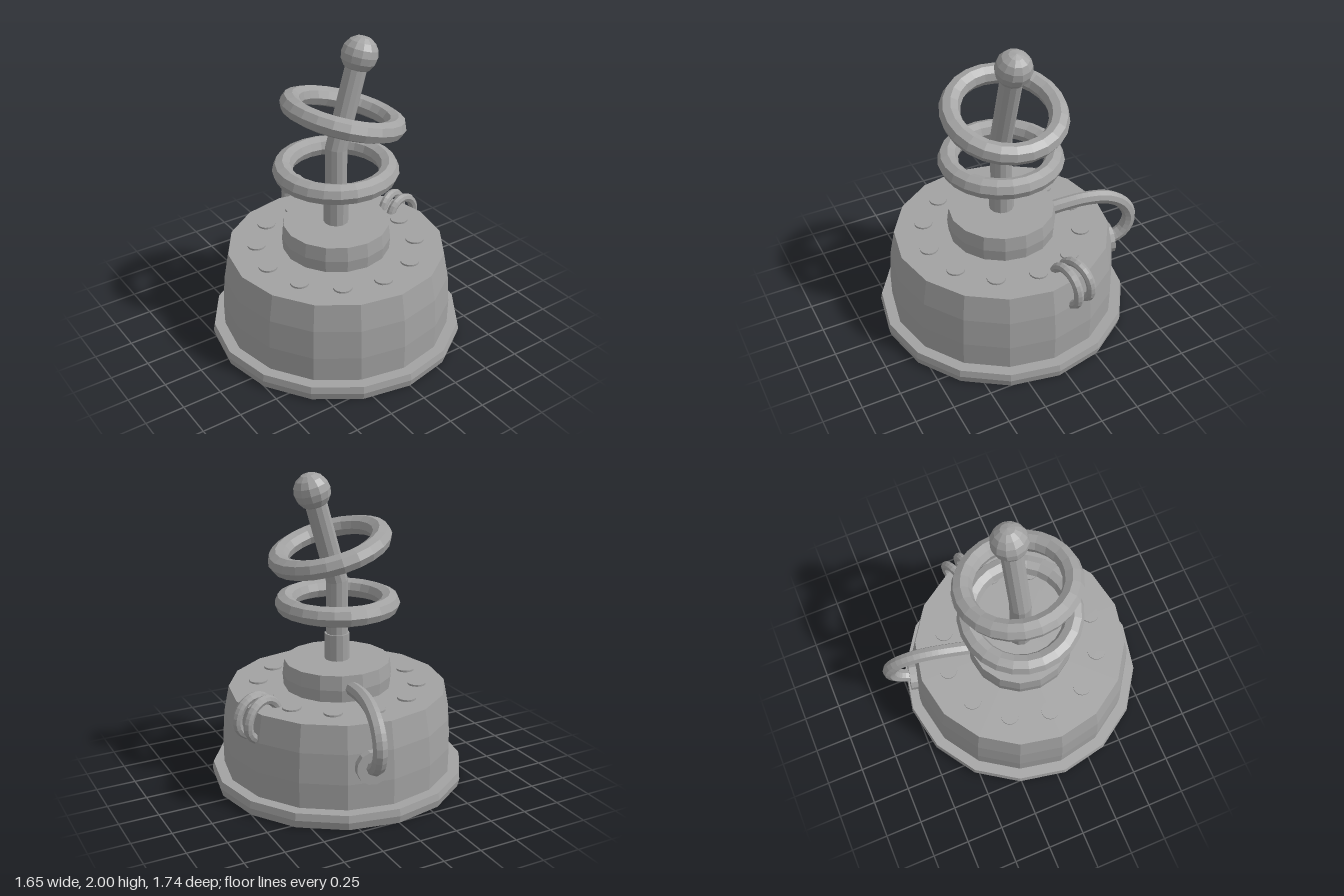
import * as THREE from 'three';

const metal = new THREE.MeshStandardMaterial({ name: 'grey metal', color: 0xa2a2a2, flatShading: true });
const V = (x, y, z) => new THREE.Vector3(x, y, z);
const TILT = THREE.MathUtils.degToRad(16);

export function createModel() {
  const model = new THREE.Group();
  model.name = 'plungerDevice';
  model.position.z = 0.05; // the round body sits slightly forward of the rear pipe

  function add(name, geometry, x = 0, y = 0, z = 0) {
    const mesh = new THREE.Mesh(geometry, metal);
    mesh.name = name;
    mesh.position.set(x, y, z);
    model.add(mesh);
    return mesh;
  }
  const lathe = (profile) =>
    new THREE.LatheGeometry(profile.map(([r, y]) => new THREE.Vector2(r, y)), 16);

  // Sixteen-sided base, drum and collar
  add('basePlate', lathe([[0, 0], [0.812, 0], [0.824, 0.05], [0.815, 0.095], [0, 0.095]]));
  add('drum', lathe([[0.745, 0.09], [0.747, 0.26], [0.733, 0.45], [0.7, 0.622], [0, 0.622]]));
  add('collar', lathe([[0.345, 0.62], [0.352, 0.7], [0.34, 0.793], [0, 0.793]]));

  // Ring of twelve flat studs
  for (let i = 0; i < 12; i++) {
    const a = (i / 12) * Math.PI * 2;
    add('stud', new THREE.CylinderGeometry(0.059, 0.059, 0.02, 16),
      Math.sin(a) * 0.513, 0.624, Math.cos(a) * 0.513);
  }

  // Shaft socket
  add('shaftSocket', new THREE.CylinderGeometry(0.08, 0.08, 0.19, 12), 0, 0.87, 0);

  // Bent shaft: straight to the elbow, then leaning to +x
  const elbow = 1.31, upper = 0.52;
  const shaft = new THREE.CylinderGeometry(0.069, 0.069, 2, 12, 2);
  const p = shaft.attributes.position;
  for (let i = 0; i < p.count; i++) {
    const x = p.getX(i), level = Math.round(p.getY(i)); // -1 foot, 0 elbow, 1 tip
    if (level < 0) p.setY(i, 0.9);
    else if (level === 0) p.setY(i, elbow - x * Math.tan(TILT / 2));
    else p.setXY(i, upper * Math.sin(TILT) + x * Math.cos(TILT),
      elbow + upper * Math.cos(TILT) - x * Math.sin(TILT));
  }
  shaft.computeVertexNormals();
  add('bentShaft', shaft);
  add('knob', new THREE.SphereGeometry(0.115, 12, 8), 0.168, 1.887, 0).rotation.z = -TILT;

  // Two floating rings, the upper one square to the leaning shaft
  const ring = new THREE.TorusGeometry(0.332, 0.065, 8, 24).rotateX(Math.PI / 2);
  add('lowerRing', ring, -0.003, 1.17, 0);
  add('upperRing', ring, 0.051, 1.53, 0).rotation.z = -TILT;

  // Pipe lying in a vertical plane through the axis; points are [radius, height]
  function radialPipe(name, points, radius, azimuth, segments) {
    const curve = new THREE.CatmullRomCurve3(points.map(([r, y]) => V(0, y, -r)));
    add(name, new THREE.TubeGeometry(curve, segments, radius, 8)).rotation.y = -azimuth;
  }
  const facet = Math.PI / 16;

  // Rear pipe from collar to drum side, with its flange
  radialPipe('rearPipe', [[0.28, 0.695], [0.4, 0.718], [0.58, 0.737], [0.73, 0.718],
    [0.84, 0.65], [0.892, 0.54], [0.86, 0.43], [0.79, 0.378], [0.7, 0.365]], 0.046, facet, 26);
  const flange = add('pipeFlange', new THREE.CylinderGeometry(0.103, 0.103, 0.06, 12),
    Math.sin(facet) * 0.744, 0.368, -Math.cos(facet) * 0.744);
  flange.quaternion.setFromUnitVectors(V(0, 1, 0),
    V(Math.sin(facet), 0.08, -Math.cos(facet)).normalize());

  // Pair of thin hoops over the drum's left rim
  for (const degrees of [70.8, 78.75]) {
    radialPipe('sideHoop', [[0.53, 0.6], [0.557, 0.65], [0.61, 0.685], [0.67, 0.685],
      [0.735, 0.645], [0.77, 0.57], [0.76, 0.5], [0.7, 0.45]],
      0.03, THREE.MathUtils.degToRad(degrees), 16);
  }

  const root = new THREE.Group();
  root.name = 'model';
  root.add(model);
  return root;
}
